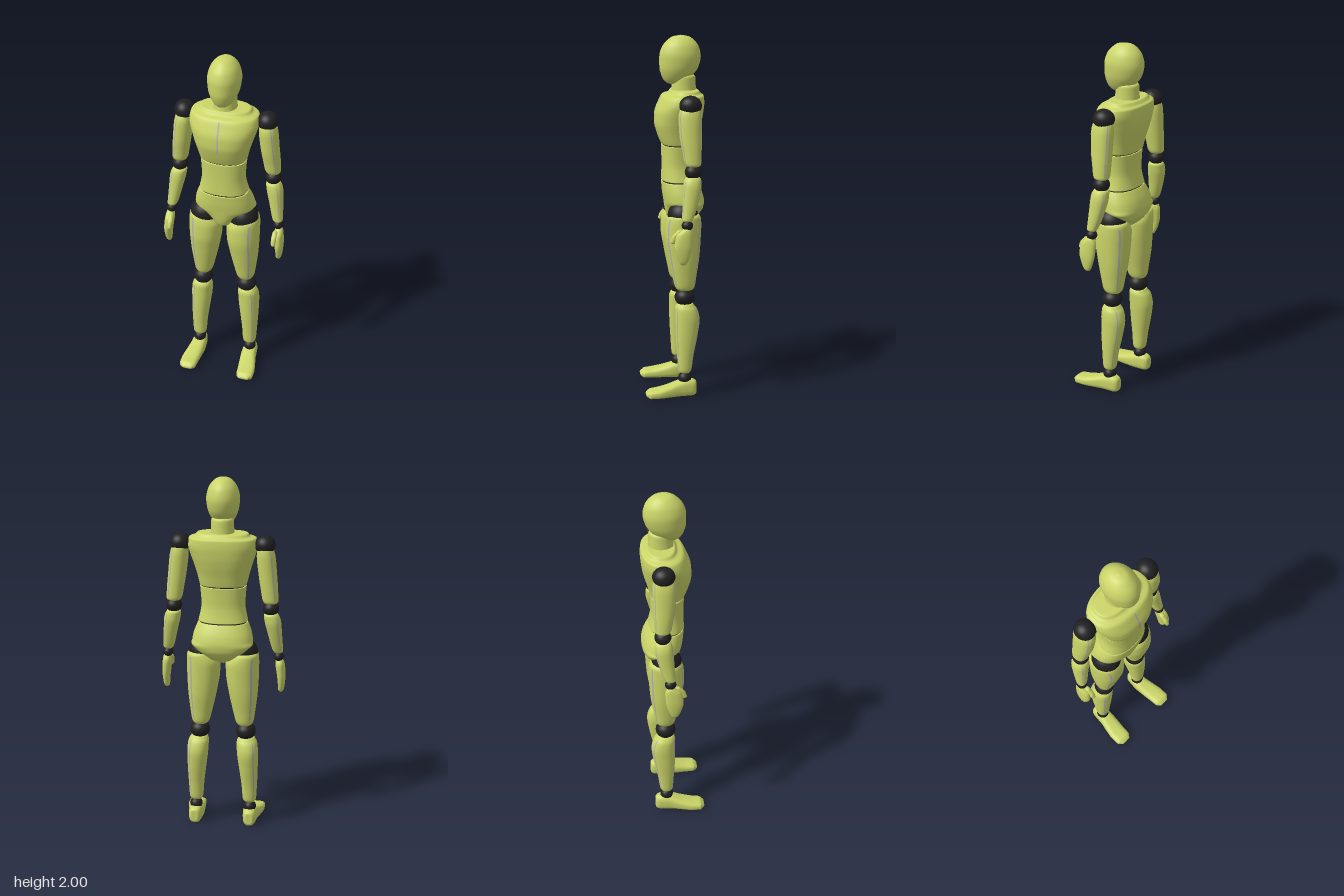
import * as THREE from 'three';

const shell = new THREE.MeshStandardMaterial({ color: 0xcbd568 });
shell.name = 'yellow green shell';
const joint = new THREE.MeshStandardMaterial({ color: 0x202022 });
joint.name = 'black joint';
const seam = new THREE.MeshStandardMaterial({ color: 0xb2b2b6 });
seam.name = 'grey seam';

// Row: [y, xMin, xMax, zMin, zMax], listed from top to bottom.
const mirrorRows = (rows, s) =>
  s > 0 ? rows : rows.map(([y, a, b, c, d]) => [y, -b, -a, c, d]);
const sym = (rows) => rows.map(([y, x, c, d]) => [y, -x, x, c, d]);

// Close an end with a flat disc and a rounded rim of radius r.
function capped(rows, rTop, rBottom) {
  const out = rows.map((r) => [...r]);
  const ends = (row, r, dir) => {
    const [y, a, b, c, d] = row;
    const cx = (a + b) / 2, cz = (c + d) / 2;
    row[0] = y + dir * r;
    return [[y, cx, cx, cz, cz], [y, a + r, b - r, c + r, d - r]];
  };
  if (rTop) out.unshift(...ends(out[0], rTop, -1));
  if (rBottom) out.push(...ends(out[out.length - 1], rBottom, 1).reverse());
  return out;
}

// Smooth interpolation between rows, without overshoot.
function sampleRow(rows, t) {
  const n = rows.length - 1;
  const i = Math.min(n - 1, Math.floor(t)), f = t - i;
  return rows[0].map((_, k) => {
    const delta = (j) => rows[j + 1][k] - rows[j][k];
    const slope = (j) => {
      if (j === 0) return delta(0);
      if (j === n) return delta(n - 1);
      const p = delta(j - 1), q = delta(j);
      return p * q <= 0 ? 0 : (2 * p * q) / (p + q);
    };
    const a = rows[i][k], b = rows[i + 1][k], f2 = f * f, f3 = f2 * f;
    return a * (2 * f3 - 3 * f2 + 1) + slope(i) * (f3 - 2 * f2 + f) +
      b * (3 * f2 - 2 * f3) + slope(i + 1) * (f3 - f2);
  });
}

// Patch of a lofted superellipse body; angles run from +z towards +x.
function patch(rows, { t0 = 0, t1 = rows.length - 1, a0 = 0, a1 = 2 * Math.PI, segs = 40, power = 2.2, grow = 0, deform }) {
  const steps = Math.ceil((t1 - t0) * 5), pos = [], index = [];
  const full = a1 - a0 > 6.28, cols = full ? segs : segs + 1;
  const sp = (v) => Math.sign(v) * Math.abs(v) ** (2 / power);
  for (let i = 0; i <= steps; i++) {
    const [y, xa, xb, za, zb] = sampleRow(rows, t0 + ((t1 - t0) * i) / steps);
    for (let j = 0; j < cols; j++) {
      const a = a0 + ((a1 - a0) * j) / segs;
      const p = [(xa + xb) / 2 + ((xb - xa) / 2 + grow) * sp(Math.sin(a)), y,
        (za + zb) / 2 + ((zb - za) / 2 + grow) * sp(Math.cos(a))];
      if (deform) deform(p);
      pos.push(...p);
      if (i < steps && j < segs) {
        const k = (j + 1) % cols, u = i * cols, v = u + cols;
        index.push(u + j, v + j, v + k, u + j, v + k, u + k);
      }
    }
  }
  const g = new THREE.BufferGeometry();
  g.setAttribute('position', new THREE.Float32BufferAttribute(pos, 3));
  g.setIndex(index);
  g.computeVertexNormals();
  return g;
}

export function createModel() {
  const model = new THREE.Group();
  model.name = 'mannequin';
  const add = (name, geometry, material) => {
    const m = new THREE.Mesh(geometry, material);
    m.name = name;
    model.add(m);
    return m;
  };
  const ball = (name, s, [x, y, z], [rx, ry, rz]) => {
    const m = add(name, new THREE.SphereGeometry(1, 32, 20), joint);
    m.position.set(s * x, y, z);
    m.scale.set(rx, ry, rz);
  };

  // Head and neck
  add('head', patch(sym([
    [2.0, 0, -0.045, -0.045], [1.992, 0.033, -0.088, -0.002], [1.97, 0.06, -0.12, 0.03],
    [1.935, 0.08, -0.144, 0.058], [1.885, 0.09, -0.154, 0.072], [1.83, 0.084, -0.142, 0.072],
    [1.785, 0.068, -0.112, 0.062], [1.752, 0.046, -0.078, 0.044], [1.738, 0.025, -0.045, 0.022],
    [1.734, 0, -0.01, -0.01]]), { power: 2 }), shell);
  add('neck', patch(capped(sym([[1.785, 0.06, -0.125, 0], [1.73, 0.062, -0.127, 0.005],
    [1.67, 0.066, -0.13, 0.01]]), 0.012, 0.005), { power: 2 }), shell);

  // Torso in three shells around a dark core
  const chest = capped(sym([[1.705, 0.15, -0.152, 0.025], [1.675, 0.182, -0.167, 0.055],
    [1.635, 0.19, -0.17, 0.078], [1.58, 0.176, -0.165, 0.098], [1.53, 0.16, -0.155, 0.1],
    [1.47, 0.142, -0.138, 0.086], [1.411, 0.128, -0.124, 0.064]]), 0.018, 0.003);
  add('chest', patch(chest, { power: 2.4, segs: 56 }), shell);
  add('chestSeam', patch(chest, { power: 2.4, t0: 3.2, t1: 6.6, a0: -0.012, a1: 0.012, segs: 2, grow: 0.0015 }), seam);
  const waist = [[1.405, 0.127, -0.122, 0.062], [1.3, 0.12, -0.118, 0.06], [1.209, 0.136, -0.132, 0.062]];
  add('abdomen', patch(capped(sym(waist), 0.003, 0.003), { power: 2.3, segs: 56 }), shell);
  add('torsoCore', patch(capped(sym([[1.43, 0.122, -0.117, 0.057], [1.3, 0.112, -0.11, 0.052],
    [1.19, 0.132, -0.128, 0.057]]), 0.003, 0.003), { power: 2.3 }), joint);
  add('pelvis', patch(capped(sym([[1.202, 0.138, -0.133, 0.062], [1.14, 0.161, -0.162, 0.057],
    [1.095, 0.168, -0.172, 0.05], [1.06, 0.122, -0.168, 0.045], [1.02, 0.072, -0.145, 0.038],
    [0.99, 0.052, -0.11, 0.025], [0.968, 0.035, -0.08, 0.0]]), 0.003, 0.015), {
    power: 2.3, segs: 56,
    // Keep the seat wider than the front
    deform: (p) => {
      const low = Math.max(0, 1.1 - p[1]), back = Math.min(1, Math.max(0, (-0.04 - p[2]) / 0.1));
      p[0] *= 1 + back * Math.min(low, 0.09) * 8;
    },
  }), shell);

  const limbs = {
    upperArm: { cap: 0.014, rows: [[1.64, 0.188, 0.272, -0.122, -0.015], [1.58, 0.186, 0.286, -0.128, -0.003],
      [1.48, 0.197, 0.296, -0.126, -0.008], [1.4, 0.21, 0.303, -0.124, -0.022], [1.325, 0.222, 0.306, -0.121, -0.034]] },
    forearm: { cap: 0.012, rows: [[1.268, 0.228, 0.31, -0.12, -0.032], [1.22, 0.233, 0.322, -0.122, -0.024],
      [1.15, 0.25, 0.327, -0.108, -0.02], [1.035, 0.277, 0.333, -0.073, -0.014]] },
    thigh: { cap: 0.016, rows: [[1.035, 0.045, 0.198, -0.14, 0.04], [0.97, 0.016, 0.201, -0.145, 0.052],
      [0.9, 0.018, 0.2, -0.142, 0.054], [0.8, 0.034, 0.195, -0.135, 0.038], [0.7, 0.056, 0.184, -0.12, 0.018],
      [0.608, 0.076, 0.172, -0.107, 0]] },
    shin: { cap: 0.014, rows: [[0.533, 0.084, 0.186, -0.106, -0.002], [0.5, 0.08, 0.195, -0.12, 0.002],
      [0.44, 0.083, 0.201, -0.134, 0.002], [0.35, 0.094, 0.2, -0.122, 0], [0.24, 0.108, 0.196, -0.1, -0.007],
      [0.135, 0.116, 0.19, -0.086, -0.014]] },
  };

  for (const s of [1, -1]) {
    const side = s > 0 ? 'left' : 'right';

    // Limb shells with front and back seams on the outer side
    for (const [key, { rows, cap }] of Object.entries(limbs)) {
      const name = side + key[0].toUpperCase() + key.slice(1);
      const body = capped(mirrorRows(rows, s), cap, cap);
      add(name, patch(body, {}), shell);
      for (const angle of [0.55, 2.5]) {
        add(name + 'Seam', patch(body, { t0: 2.2, t1: body.length - 3.2, a0: s * angle - 0.07,
          a1: s * angle + 0.07, segs: 3, grow: 0.0015 }), seam);
      }
    }

    // Ball joints
    ball(side + 'Shoulder', s, [0.23, 1.645, -0.068], [0.056, 0.053, 0.06]);
    ball(side + 'Elbow', s, [0.266, 1.296, -0.078], [0.044, 0.04, 0.045]);
    ball(side + 'Wrist', s, [0.309, 1.014, -0.042], [0.028, 0.027, 0.031]);
    ball(side + 'Hip', s, [0.112, 1.03, -0.043], [0.082, 0.078, 0.083]);
    ball(side + 'Knee', s, [0.13, 0.568, -0.052], [0.056, 0.05, 0.056]);
    ball(side + 'Ankle', s, [0.155, 0.105, -0.05], [0.036, 0.034, 0.037]);

    // Hand and thumb
    add(side + 'Hand', patch(capped(mirrorRows([[1.0, 0.295, 0.335, -0.06, -0.014], [0.96, 0.291, 0.342, -0.072, 0.018],
      [0.9, 0.299, 0.346, -0.068, 0.028], [0.85, 0.304, 0.343, -0.056, 0.016],
      [0.8, 0.306, 0.336, -0.04, 0]], s), 0.01, 0.012), {}), shell);
    add(side + 'Thumb', patch(capped(mirrorRows([[0.99, 0.288, 0.315, -0.022, 0.014], [0.955, 0.286, 0.314, 0.005, 0.038],
      [0.915, 0.289, 0.313, 0.02, 0.048]], s), 0.009, 0.009), { segs: 20 }), shell);

    // Foot, lofted from toe to heel and laid flat
    const foot = patch(capped(mirrorRows([[0.17, 0.135, 0.212, -0.042, -0.004], [0.145, 0.127, 0.223, -0.048, 0],
      [0.1, 0.123, 0.224, -0.055, 0], [0.04, 0.117, 0.214, -0.07, 0], [-0.02, 0.113, 0.201, -0.09, 0],
      [-0.065, 0.117, 0.196, -0.1, 0], [-0.115, 0.123, 0.19, -0.094, -0.002]], s), 0.014, 0.016), { power: 2.8 });
    add(side + 'Foot', foot.rotateX(Math.PI / 2), shell);
  }
  return model;
}
